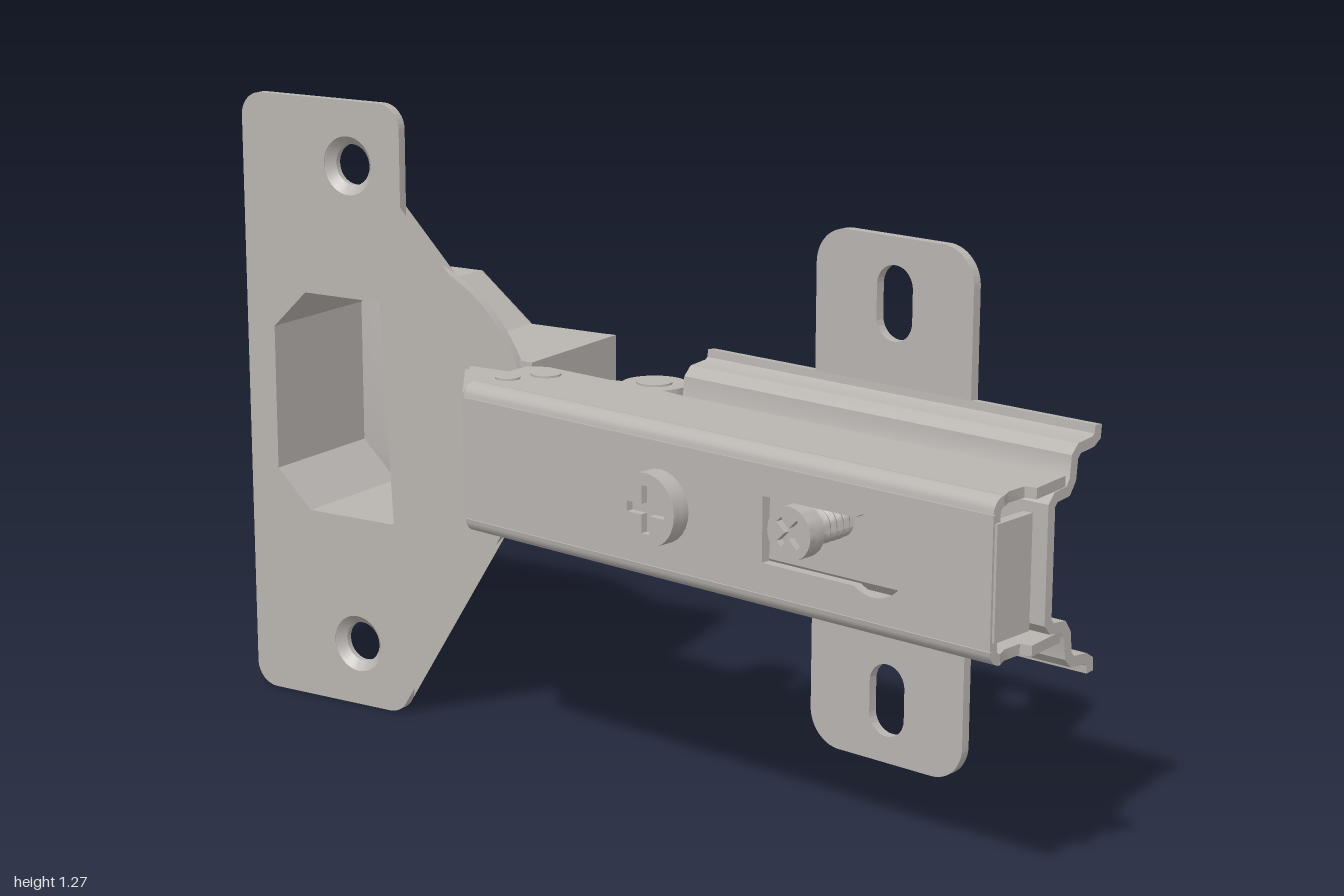
import * as THREE from 'three';
import { toCreasedNormals } from 'three/addons/utils/BufferGeometryUtils.js';

const steel = new THREE.MeshStandardMaterial({ color: 0xb8b4b0, side: THREE.DoubleSide });
steel.name = 'brushed steel';
const MID = 0.6375; // height of the hinge axis of symmetry
const T = 0.02; // sheet thickness

function add(parent, name, geometry) {
  const mesh = new THREE.Mesh(toCreasedNormals(geometry, 0.6), steel);
  mesh.name = name;
  parent.add(mesh);
  return mesh;
}
const poly = (pts) => new THREE.Shape(pts.map(([x, y]) => new THREE.Vector2(x, y)));
const extrude = (shape, depth) =>
  new THREE.ExtrudeGeometry(shape, { depth, bevelEnabled: false, curveSegments: 20 });

// Sheet facing z, its back at z
const frontPlate = (shape, z, depth = T) => extrude(shape, depth).translate(0, 0, z);
// Sheet facing y; shape is drawn in (x, -z)
const sidePlate = (shape, y, depth = T) => extrude(shape, depth).rotateX(-Math.PI / 2).translate(0, y, 0);
// Cross-section drawn in (-z, y), swept along x
const sweepX = (shape, x0, x1) => extrude(shape, x1 - x0).rotateY(Math.PI / 2).translate(x0, 0, 0);

function roundRect(x0, y0, x1, y1, r) {
  const s = new THREE.Shape();
  s.absarc(x1 - r, y0 + r, r, -Math.PI / 2, 0);
  s.absarc(x1 - r, y1 - r, r, 0, Math.PI / 2);
  s.absarc(x0 + r, y1 - r, r, Math.PI / 2, Math.PI);
  s.absarc(x0 + r, y0 + r, r, Math.PI, Math.PI * 1.5);
  s.closePath();
  return s;
}
function circle(x, y, r) {
  return new THREE.Shape().absarc(x, y, r, 0, Math.PI * 2);
}
// Constant-thickness strip around an open polyline
function strip(pts, t) {
  const p = pts.map(([x, y]) => new THREE.Vector2(x, y));
  const left = [], right = [];
  p.forEach((v, i) => {
    const a = v.clone().sub(p[Math.max(i - 1, 0)]).normalize();
    const b = p[Math.min(i + 1, p.length - 1)].clone().sub(v).normalize();
    const d = a.clone().add(b).normalize();
    const ref = i ? a : b;
    const k = t / 2 / Math.max(0.5, d.dot(ref));
    const n = new THREE.Vector2(-d.y, d.x).multiplyScalar(k);
    left.push(v.clone().add(n));
    right.unshift(v.clone().sub(n));
  });
  return new THREE.Shape([...left, ...right]);
}
const lathe = (pts) => new THREE.LatheGeometry(pts.map(([r, h]) => new THREE.Vector2(r, h)), 28);

// Screw along z with a cross recess in its head and a ridged shank
function addScrew(parent, name, u, headR, headTop, shankR, tip, twist) {
  const g = new THREE.Group();
  g.name = name;
  g.position.set(u, 0, 0);
  const head = circle(0, 0, headR);
  const a = headR * 0.65, b = headR * 0.14;
  head.holes.push(poly([[a, -b], [a, b], [b, b], [b, a], [-b, a], [-b, b], [-a, b], [-a, -b],
    [-b, -b], [-b, -a], [b, -a], [b, -b]]));
  add(g, 'screwHeadTop', frontPlate(head, headTop - 0.015, 0.015)).rotation.z = twist;
  const base = headTop - 0.04;
  const profile = [[0, tip], [shankR * 0.8, tip]];
  for (let h = tip + 0.01; h < base - 0.02; h += 0.018) {
    profile.push([shankR, h], [shankR * 0.84, h + 0.009]);
  }
  profile.push([shankR * 0.8, base], [headR, base], [headR, headTop - 0.015], [0, headTop - 0.015]);
  add(g, 'screwShank', lathe(profile).rotateX(Math.PI / 2));
  parent.add(g);
}

function buildCup() {
  const cup = new THREE.Group();
  cup.name = 'cup';
  const halfOuter = [[-0.29, 0.15], [-0.5, 0.15], [-0.625, 0.25], [-0.855, 0.25], [-0.95, 0.16]];
  const halfInner = [[-0.31, 0.13], [-0.51, 0.13], [-0.635, 0.232], [-0.847, 0.232], [-0.93, 0.152]];
  const mirror = (h) => [...h, ...h.map(([x, y]) => [x, -y]).reverse()];
  const inner = mirror(halfInner);

  // Flange with rounded corners, a half-disc bulge and the cup opening
  const f = new THREE.Shape();
  const H = 0.6375, r = 0.05;
  f.absarc(-1 + r, -H + r, r, Math.PI, Math.PI * 1.5);
  f.absarc(-0.6 - r, -H + r, r, -Math.PI / 2, 0);
  f.absarc(-0.63, 0, 0.342, -1.483, 1.483);
  f.absarc(-0.6 - r, H - r, r, 0, Math.PI / 2);
  f.absarc(-1 + r, H - r, r, Math.PI / 2, Math.PI);
  f.closePath();
  f.holes.push(poly(inner));
  for (const s of [-1, 1]) f.holes.push(circle(-0.73, s * 0.505, 0.06));
  add(cup, 'flange', frontPlate(f, -0.07));

  // Countersunk screw holes
  for (const s of [-1, 1]) {
    const sink = lathe([[0.061, -0.05], [0.042, -0.068], [0.042, -0.08], [0.055, -0.08], [0.068, -0.069]]);
    add(cup, 'countersink', sink.rotateX(Math.PI / 2).translate(-0.73, s * 0.505, 0));
  }

  // Side walls, open at the neck end
  const wall = poly([...halfOuter, ...halfOuter.map(([x, y]) => [x, -y]).reverse(),
    ...halfInner.map(([x, y]) => [x, -y]), ...halfInner.slice().reverse()]);
  add(cup, 'cupWall', frontPlate(wall, -0.362, 0.3));

  // Neck end wall with a window
  const end = poly([[0.06, -0.15], [0.365, -0.15], [0.365, 0.15], [0.06, 0.15]]);
  end.holes.push(roundRect(0.075, -0.105, 0.15, 0.105, 0.015));
  add(cup, 'neckEnd', sweepX(end, -0.31, -0.29));

  // Floor with a softened rim
  const floor = new THREE.ExtrudeGeometry(poly(mirror(halfOuter)),
    { depth: 0.004, bevelThickness: 0.012, bevelSize: 0.012, bevelOffset: -0.012, bevelSegments: 3 });
  add(cup, 'cupFloor', floor.translate(0, 0, -0.363));
  // Pivot bar inside the neck
  add(cup, 'cupPin', new THREE.CylinderGeometry(0.022, 0.022, 0.27, 16).translate(-0.4, 0, -0.13));
  return cup;
}

function buildLinks() {
  const links = new THREE.Group();
  links.name = 'links';
  // Outer link: sloping web between two cheeks
  const web = strip([[-0.5, 0.17], [-0.44, 0.06], [-0.325, -0.11], [-0.28, -0.12]], T);
  add(links, 'outerLinkWeb', sidePlate(web, -0.12, 0.24));
  const cheek = poly([[-0.5, 0.17], [-0.44, 0.06], [-0.325, -0.12], [-0.24, -0.08], [-0.25, 0.0], [-0.37, 0.17]]);
  for (const y of [-0.128, 0.108]) add(links, 'outerLinkCheek', sidePlate(cheek, y));
  // Inner link: bent sheet from the roller to the cup
  const curve = new THREE.SplineCurve([[0.04, 0.0], [0.0, -0.03], [-0.1, -0.03], [-0.22, 0.0],
    [-0.33, 0.06], [-0.4, 0.13]].map(([x, y]) => new THREE.Vector2(x, y)));
  const inner = strip(curve.getPoints(20).map((p) => [p.x, p.y]), T);
  add(links, 'innerLink', sidePlate(inner, -0.1, 0.2));
  return links;
}

function buildArm() {
  const arm = new THREE.Group();
  arm.name = 'arm';
  const U0 = -0.27, U1 = 0.995;
  // Face with the keyhole slot
  const face = poly([[U0, -0.12], [U1, -0.12], [U1, 0.12], [U0, 0.12]]);
  const key = new THREE.Path();
  key.moveTo(0.487, 0.062);
  key.lineTo(0.487, -0.062);
  key.lineTo(0.698, -0.062);
  key.absarc(0.741, 0, 0.075, -2.17, 2.17);
  key.closePath();
  face.holes.push(key);
  add(arm, 'armFace', frontPlate(face, 0.185));

  // Sides with the pivot lobe, and rounded edges
  const side = new THREE.Shape();
  side.moveTo(U0, -0.175);
  side.lineTo(U0 - 0.01, -0.02);
  side.lineTo(U0 + 0.025, 0.003);
  side.lineTo(-0.08, 0.003);
  side.absarc(0.003, 0.041, 0.065, 3.6, -0.6, true);
  side.lineTo(0.1, 0);
  side.lineTo(U1, 0);
  side.lineTo(U1 + 0.012, -0.1);
  side.lineTo(U1 - 0.01, -0.105);
  side.lineTo(U1 - 0.01, -0.15);
  side.lineTo(U1, -0.175);
  side.closePath();
  for (const s of [-1, 1]) {
    add(arm, 'armSide', sidePlate(side, s > 0 ? 0.13 : -0.15));
    const arc = [];
    for (let i = 0; i <= 6; i++) {
      const a = (i / 6) * Math.PI / 2;
      arc.push([-0.175 - 0.02 * Math.sin(a), s * (0.12 + 0.02 * Math.cos(a))]);
    }
    add(arm, 'armEdge', sweepX(strip(arc, T), U0, U1));
  }
  // Folded end tab
  add(arm, 'armEndTab', new THREE.BoxGeometry(T, 0.21, 0.1).translate(U1 - 0.005, 0, 0.15));

  // Roller and pivot pins
  add(arm, 'roller', new THREE.CylinderGeometry(0.05, 0.05, 0.29, 24).translate(0.003, 0, -0.041));
  for (const [u, w, r] of [[0.003, -0.041, 0.035], [-0.2, 0.05, 0.03], [-0.235, 0.12, 0.025]]) {
    add(arm, 'pivotPin', new THREE.CylinderGeometry(r, r, 0.308, 20).translate(u, 0, w));
  }
  return arm;
}

function buildMount() {
  const mount = new THREE.Group();
  mount.name = 'mountingPlate';
  // Stepped channel rail
  const half = [[0.09, 0.225], [0.088, 0.205], [0.075, 0.197], [0.035, 0.193], [0.022, 0.18],
    [0.018, 0.14], [0.005, 0.122], [-0.03, 0.118], [-0.042, 0.105]];
  const rail = strip([...half, ...half.map(([x, y]) => [x, -y]).reverse()], T);
  add(mount, 'rail', sweepX(rail, 0.105, 0.998));
  // Wings with slotted screw holes
  for (const s of [-1, 1]) {
    const wing = new THREE.Shape();
    wing.moveTo(0.37, 0.205);
    wing.lineTo(0.73, 0.205);
    wing.absarc(0.66, 0.43, 0.07, 0, Math.PI / 2);
    wing.absarc(0.44, 0.43, 0.07, Math.PI / 2, Math.PI);
    wing.closePath();
    wing.holes.push(roundRect(0.512, 0.307, 0.594, 0.448, 0.0405));
    const geo = frontPlate(wing, -0.1);
    if (s < 0) geo.rotateX(Math.PI).translate(0, 0, -0.18);
    add(mount, 'wing', geo);
  }
  return mount;
}

export function createModel() {
  const model = new THREE.Group();
  model.name = 'cabinetHinge';
  const body = new THREE.Group();
  body.name = 'hinge';
  body.position.y = MID;
  model.add(body);
  body.add(buildCup(), buildLinks());

  // Arm assembly, swung open by ten degrees
  const swing = new THREE.Group();
  swing.name = 'armAssembly';
  swing.rotation.y = -Math.PI / 18;
  swing.add(buildArm(), buildMount());
  addScrew(swing, 'adjustingScrew', 0.245, 0.07, 0.25, 0.055, -0.1, 0);
  addScrew(swing, 'fixingScrew', 0.54, 0.05, 0.195, 0.036, -0.014, Math.PI / 4);
  body.add(swing);
  return model;
}
